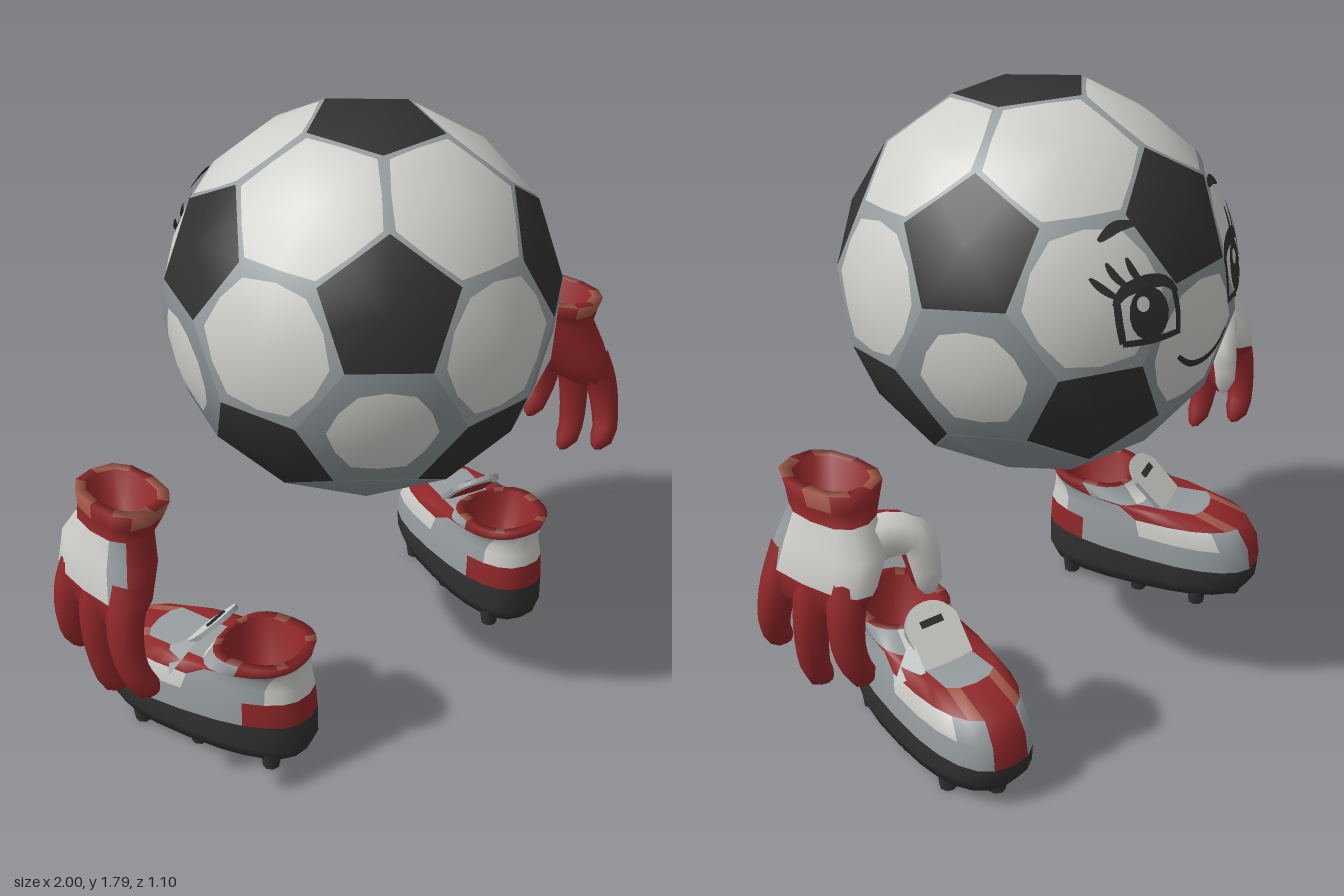
import * as THREE from 'three';

const mat = (name, color, side = THREE.FrontSide) =>
  Object.assign(new THREE.MeshStandardMaterial({ color, side }), { name });
const V = (x, y, z) => new THREE.Vector3(x, y, z);
const TAU = Math.PI * 2;

export function createModel() {
  const white = mat('white', 0xcfcfcb), grey = mat('grey', 0x979d9f, THREE.DoubleSide);
  const slate = mat('slateGrey', 0x889093);
  const black = mat('black', 0x313131, THREE.DoubleSide), red = mat('red', 0x902729);
  const tan = mat('tan', 0xa45a4a);
  const mats = [white, grey, black, red, tan];
  const [W, G, K, R, T] = [0, 1, 2, 3, 4];

  const add = (parent, name, geo, material) => {
    const m = new THREE.Mesh(geo, material);
    m.name = name;
    parent.add(m);
    return m;
  };
  const group = (parent, name) => {
    const g = new THREE.Group();
    g.name = name;
    parent.add(g);
    return g;
  };

  // Joins closed rings of points into a smooth skin; colour(i, j, normal) picks each quad's material
  function skin(rings, colour) {
    const n = rings[0].length, bins = mats.map(() => []);
    for (let i = 0; i < rings.length - 1; i++) for (let j = 0; j < n; j++) {
      const k = (j + 1) % n, a = i * n + j, b = i * n + k, c = a + n, d = b + n;
      const normal = rings[i + 1][j].clone().sub(rings[i][k])
        .cross(rings[i + 1][k].clone().sub(rings[i][j])).normalize();
      bins[colour(i, j, normal)].push(a, c, b, b, c, d);
    }
    const geo = new THREE.BufferGeometry().setFromPoints(rings.flat());
    geo.setIndex(bins.flat());
    let start = 0;
    bins.forEach((bin, m) => {
      if (bin.length) geo.addGroup(start, bin.length, m);
      start += bin.length;
    });
    geo.computeVertexNormals();
    return geo;
  }

  // Blunt oval ring from zF to zB, half width w, sloping from yF to yB, wider at zF by flare
  const blunt = v => Math.sign(v) * Math.abs(v) ** 0.8;
  function oval(n, zF, zB, w, yF, yB, cx = 0, flare = 0) {
    return Array.from({ length: n }, (_, j) => {
      const a = j / n * TAU, u = blunt(Math.cos(a)), s = blunt(Math.sin(a));
      return V(cx + w * s * (1 + flare * u), yB + (yF - yB) * (u + 1) / 2, (zF + zB) / 2 - (zB - zF) / 2 * u);
    });
  }

  // Tapered round-ended tube along a curve
  function limb(points, r0, r1, colour) {
    const seg = 10, n = 8, curve = new THREE.CatmullRomCurve3(points.map(p => V(...p)));
    const f = curve.computeFrenetFrames(seg), rings = [];
    for (let i = 0; i <= seg; i++) {
      const p = curve.getPointAt(i / seg);
      const r = (r0 + (r1 - r0) * i / seg) * (i === seg ? 0.5 : 1);
      rings.push(Array.from({ length: n }, (_, j) => p.clone()
        .addScaledVector(f.normals[i], r * Math.cos(j / n * TAU))
        .addScaledVector(f.binormals[i], -r * Math.sin(j / n * TAU))));
    }
    const tip = curve.getPointAt(1).addScaledVector(f.tangents[seg], 0.01);
    rings.push(rings[0].map(() => tip.clone()));
    return skin(rings, colour);
  }

  const model = new THREE.Group();
  model.name = 'ballWithGlovesAndBoots';

  // Ball: 12 pentagons and 20 hexagons from the corners of an icosahedron
  const ball = group(model, 'ball');
  ball.position.y = 1.245;
  const ico = [V(0, 1, 0), V(0, -1, 0)];
  for (let k = 0; k < 10; k++) {
    const a = k * TAU / 10, y = k % 2 ? -1 : 1;
    ico.push(V(Math.sin(a) * 2, y, -Math.cos(a) * 2).divideScalar(Math.sqrt(5)));
  }
  const near = (a, b) => a !== b && a.distanceTo(b) < 1.2;
  const corner = (a, b) => a.clone().multiplyScalar(2).add(b).setLength(0.558);
  const panels = { white: [], grey: [], slate: [], black: [] };
  // inner and round scale the coloured core's edges and corners; the rest is border
  function panel(points, bin, border = bin, inner = 1, round = 1) {
    const c = points.reduce((s, p) => s.add(p), V(0, 0, 0)).setLength(0.552);
    const u = points[0].clone().sub(c), v = c.clone().normalize().cross(u);
    const angle = p => { const d = p.clone().sub(c); return Math.atan2(d.dot(v), d.dot(u)); };
    points.sort((p, q) => angle(p) - angle(q));
    const rim = points.flatMap((p, i) => [p, p.clone().lerp(points[(i + 1) % points.length], 0.5)]);
    const core = rim.map((p, i) => c.clone().lerp(p, i % 2 ? inner : inner * round));
    rim.forEach((p, i) => {
      const k = (i + 1) % rim.length;
      panels[bin].push(c, core[i], core[k]);
      if (inner < 1) panels[border].push(core[i], p, rim[k], core[i], rim[k], core[k]);
    });
  }
  ico.forEach((a, i) => {
    panel(ico.filter(b => near(a, b)).map(b => corner(a, b)), 'black');
    ico.forEach((b, j) => ico.forEach((c, k) => {
      if (!(i < j && j < k && near(a, b) && near(b, c) && near(a, c))) return;
      const y = (a.y + b.y + c.y) / 3, z = (a.z + b.z + c.z) / 3;
      const pts = [[a, b], [b, a], [b, c], [c, b], [c, a], [a, c]].map(e => corner(...e));
      // Lower panels show less white, except the one under the eyes
      if (y > 0.5) panel(pts, 'white', 'grey', 0.94, 0.98);
      else if (y > 0) panel(pts, 'white', 'grey', 0.9, 0.92);
      else if (y > -0.5) panel(pts, 'white', 'slate', z < -0.7 ? 0.88 : 0.71, 0.92);
      else panel(pts, 'slate', 'grey', 0.96, 1);
    }));
  });
  for (const [name, material] of Object.entries({ white, grey, slate, black })) {
    const geo = new THREE.BufferGeometry().setFromPoints(panels[name]);
    geo.setAttribute('normal', new THREE.Float32BufferAttribute(
      panels[name].flatMap(p => p.clone().normalize().toArray()), 3));
    add(ball, name + 'Panels', geo, material).rotation.x = 0.09;
  }

  // Face: thin ribbons and discs wrapped onto the ball
  const face = group(ball, 'face');
  const onBall = (x, y, r = 0.559) => V(x, y, -Math.sqrt(r * r - x * x - y * y));
  function stroke(name, pts, w, side = 1, taper = 0.3) {
    const curve = new THREE.SplineCurve(pts.map(p => new THREE.Vector2(p[0] * side, p[1])));
    const n = 12, strip = [], idx = [];
    for (let i = 0; i <= n; i++) {
      const p = curve.getPoint(i / n), t = curve.getTangent(i / n);
      const h = w / 2 * (taper + (1 - taper) * Math.sin(Math.PI * i / n));
      strip.push(onBall(p.x - t.y * h, p.y + t.x * h), onBall(p.x + t.y * h, p.y - t.x * h));
      if (i < n) idx.push(2 * i, 2 * i + 1, 2 * i + 2, 2 * i + 1, 2 * i + 3, 2 * i + 2);
    }
    const geo = new THREE.BufferGeometry().setFromPoints(strip).setIndex(idx);
    geo.computeVertexNormals();
    add(face, name, geo, black);
  }
  function disc(name, x, y, rx, ry, r, material) {
    const geo = new THREE.CircleGeometry(1, 16), p = geo.attributes.position;
    for (let i = 0; i < p.count; i++) p.setXYZ(i, ...onBall(x - p.getX(i) * rx, y + p.getY(i) * ry, r));
    geo.computeVertexNormals();
    add(face, name, geo, material);
  }
  for (const s of [1, -1]) {
    stroke('upperLid', [[0.115, 0.125], [0.145, 0.16], [0.2, 0.17], [0.26, 0.157], [0.29, 0.125]], 0.036, s);
    stroke('innerEyeLine', [[0.125, 0.14], [0.12, 0.08], [0.122, 0.025]], 0.016, s, 0.9);
    stroke('lowerLid', [[0.115, 0.022], [0.2, 0.018], [0.28, 0.024]], 0.018, s, 0.9);
    stroke('outerEyeLine', [[0.283, 0.14], [0.285, 0.08], [0.28, 0.025]], 0.018, s, 0.9);
    stroke('lash', [[0.21, 0.17], [0.225, 0.2], [0.23, 0.235]], 0.02, s);
    stroke('lash', [[0.245, 0.16], [0.27, 0.195], [0.28, 0.23]], 0.02, s);
    stroke('lash', [[0.275, 0.14], [0.305, 0.17], [0.325, 0.2]], 0.02, s);
    stroke('eyebrow', [[0.17, 0.305], [0.22, 0.305], [0.275, 0.28]], 0.024, s);
    disc('pupil', 0.205 * s, 0.09, 0.055, 0.07, 0.56, black);
    disc('eyeHighlight', 0.205 * s + 0.018, 0.12, 0.017, 0.02, 0.563, white);
  }
  stroke('smile', [[-0.115, -0.055], [-0.065, -0.092], [0, -0.105], [0.065, -0.092], [0.115, -0.055]], 0.02, 1, 0.6);

  for (const side of [1, -1]) {
    const half = group(model, side > 0 ? 'leftSide' : 'rightSide');
    half.scale.x = side;

    // Glove: hollow cuff and palm, three fingers and a thumb
    const glove = group(half, 'glove');
    const palm = [
      [0, 0, 0, 0.62, 0.62, 0.93], [-0.14, 0.15, 0.045, 0.66, 0.66, 0.93],
      [-0.18, 0.17, 0.068, 0.73, 0.73, 0.912], [-0.18, 0.145, 0.085, 0.82, 0.82, 0.88],
      [-0.13, 0.115, 0.078, 0.895, 0.895, 0.862], [-0.125, 0.13, 0.09, 0.935, 0.935, 0.85],
      [-0.13, 0.15, 0.1, 0.985, 0.985, 0.845], [-0.1, 0.115, 0.074, 0.985, 0.985, 0.845],
      [-0.08, 0.08, 0.055, 0.87, 0.87, 0.855], [0, 0, 0, 0.86, 0.86, 0.86],
    ].map(r => oval(12, ...r));
    add(glove, 'palmAndCuff', skin(palm, (i, j) => {
      if (i === 2 || i === 3) return j < 4 ? W : j === 4 ? G : j > 9 ? W : R;
      if (i === 5) return [2, 5, 6].includes(j) ? T : R;
      return i === 6 && j % 3 ? T : R;
    }), mats);
    for (const [z, tipZ, drop] of [[0.12, 0.16, 0], [0, 0.015, 0.065], [-0.115, -0.135, 0]])
      add(glove, 'finger', limb([[0.905, 0.77, z * 0.85], [0.943, 0.67, z], [0.951, 0.57 - drop / 2, (z + tipZ) / 2],
        [0.932, 0.5 - drop, tipZ], [0.895, 0.452 - drop, tipZ]], 0.056, 0.036, () => R), mats);
    add(glove, 'thumb', limb([[0.88, 0.81, -0.07], [0.79, 0.83, -0.12], [0.735, 0.81, -0.165],
      [0.725, 0.73, -0.185], [0.718, 0.65, -0.195]], 0.075, 0.036,
    (i, j, n) => n.z < -0.1 ? W : n.z < 0.15 ? G : R), mats);

    // Boot: sole, upper and hollow collar in one skin, toes turned outward
    const boot = group(half, 'boot');
    boot.position.set(0.525, 0, 0);
    boot.rotation.y = -0.27;
    const N = 24;
    const rings = [
      [-0.08, -0.06, 0, 0.04, 0.04], [-0.385, 0.265, 0.138, 0.04, 0.04], [-0.415, 0.285, 0.152, 0.08, 0.08],
      [-0.42, 0.285, 0.152, 0.13, 0.17], [-0.41, 0.28, 0.147, 0.2, 0.25], [-0.37, 0.272, 0.138, 0.265, 0.29],
      [-0.25, 0.268, 0.128, 0.302, 0.32], [-0.05, 0.268, 0.124, 0.295, 0.355], [-0.005, 0.275, 0.134, 0.365, 0.385],
      [0.015, 0.245, 0.104, 0.365, 0.38], [0.02, 0.23, 0.088, 0.22, 0.2], [0.12, 0.13, 0, 0.2, 0.2],
    ].map(r => oval(N, ...r, 0, 0.08));
    add(boot, 'soleAndUpper', skin(rings, (i, j) => {
      const k = Math.min(j, N - 1 - j);                 // 0 at the toe, 11 at the heel
      if (i < 3) return K;
      if (i === 3) return k < 1 || k > 7 ? R : G;
      if (i === 4) return k < 1 ? R : k < 3 ? G : k < 6 || k > 8 ? W : G;
      if (i === 5) return k < 1 ? R : k < 2 ? T : k < 6 ? R : k > 8 ? W : G;
      if (i === 6) return k < 2 ? G : k < 6 ? R : k > 8 ? W : G;
      if (i === 7) return k < 2 ? W : k < 6 ? G : R;
      return i === 8 && k % 4 === 1 ? T : R;
    }), mats);

    // Tongue with red lining, and loose lace flap
    const tongueShape = new THREE.Shape().moveTo(-0.08, 0).lineTo(0.08, 0).lineTo(0.085, 0.14)
      .quadraticCurveTo(0.06, 0.2, 0, 0.2).quadraticCurveTo(-0.06, 0.2, -0.085, 0.14);
    const tongue = add(boot, 'tongue', new THREE.ExtrudeGeometry(tongueShape,
      { depth: 0.014, bevelEnabled: false, curveSegments: 5 }), [white, grey]);
    tongue.position.set(0, 0.285, -0.135);
    tongue.rotation.x = 0.78;
    add(tongue, 'tongueLining', new THREE.ShapeGeometry(tongueShape, 5).scale(0.8, 0.85, 1), red).position.z = 0.017;
    add(tongue, 'laceSlot', new THREE.BoxGeometry(0.07, 0.02, 0.008), black).position.set(0, 0.14, -0.003);
    const flap = new THREE.BufferGeometry().setFromPoints(
      [V(0.07, 0.37, -0.04), V(0.165, 0.27, -0.09), V(0.09, 0.31, -0.14)]);
    flap.computeVertexNormals();
    add(boot, 'laceFlap', flap, grey);

    // Studs
    for (const [x, z] of [[0.07, 0.19], [-0.07, 0.19], [0.09, -0.05], [-0.09, -0.05],
      [0.1, -0.25], [-0.1, -0.25], [0, -0.34]])
      add(boot, 'stud', new THREE.CylinderGeometry(0.032, 0.025, 0.06, 8), black).position.set(x, 0.03, z);
  }
  return model;
}
